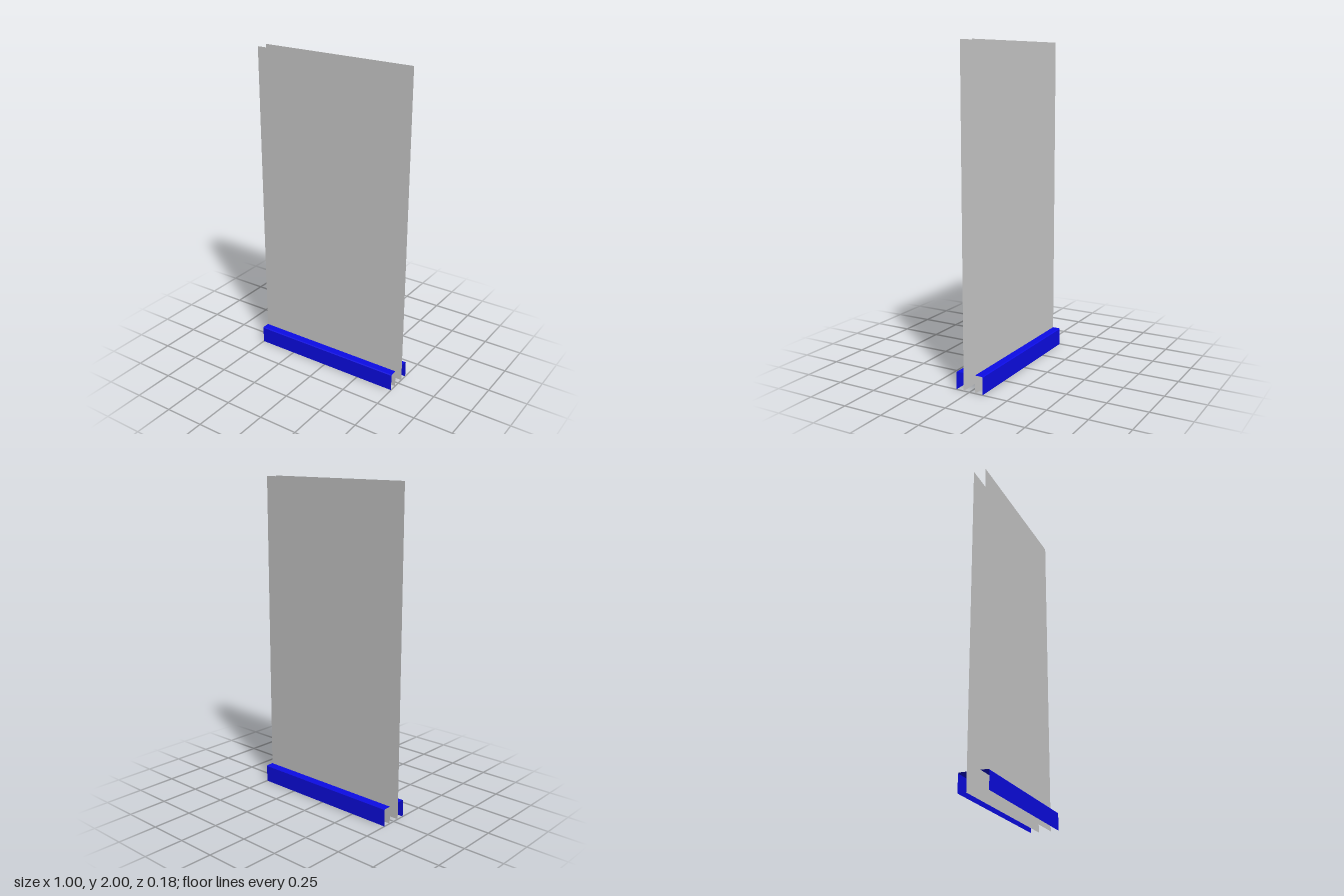
import * as THREE from 'three';

const WIDTH = 1, HEIGHT = 2;
const INNER = 0.039, OUTER = 0.089; // panel plane and skirting face
const SKIRTING_TOP = 0.11, BEVEL = 0.005;

// Open sheet swept along x from a (z, y) profile
function sweepStrip(profile) {
  const positions = [], index = [];
  for (let i = 0; i < profile.length - 1; i++) {
    const [z0, y0] = profile[i], [z1, y1] = profile[i + 1];
    const h = WIDTH / 2, n = i * 4;
    positions.push(-h, y0, z0, h, y0, z0, h, y1, z1, -h, y1, z1);
    index.push(n, n + 1, n + 2, n, n + 2, n + 3);
  }
  const geometry = new THREE.BufferGeometry();
  geometry.setAttribute('position', new THREE.Float32BufferAttribute(positions, 3));
  geometry.setIndex(index);
  geometry.computeVertexNormals();
  return geometry;
}

// One wall face with its skirting, facing +z
function createSide(name) {
  const side = new THREE.Group();
  side.name = name;

  const panel = new THREE.Mesh(
    new THREE.PlaneGeometry(WIDTH, HEIGHT),
    new THREE.MeshStandardMaterial({ color: 0xcccccc, side: THREE.DoubleSide })
  );
  panel.name = 'wallPanel';
  panel.position.set(0, HEIGHT / 2, INNER);

  // Skirting: front face, slim bevel and top, open below and at the ends
  const skirting = new THREE.Mesh(
    sweepStrip([
      [OUTER, 0],
      [OUTER, SKIRTING_TOP - BEVEL],
      [OUTER - BEVEL, SKIRTING_TOP],
      [INNER, SKIRTING_TOP],
    ]),
    new THREE.MeshStandardMaterial({ color: 0x0c0ce6, side: THREE.DoubleSide })
  );
  skirting.name = 'skirting';

  side.add(panel, skirting);
  return side;
}

export function createModel() {
  const wall = new THREE.Group();
  wall.name = 'wall';
  const front = createSide('frontSide');
  const back = createSide('backSide');
  back.rotation.y = Math.PI;
  wall.add(front, back);
  return wall;
}
